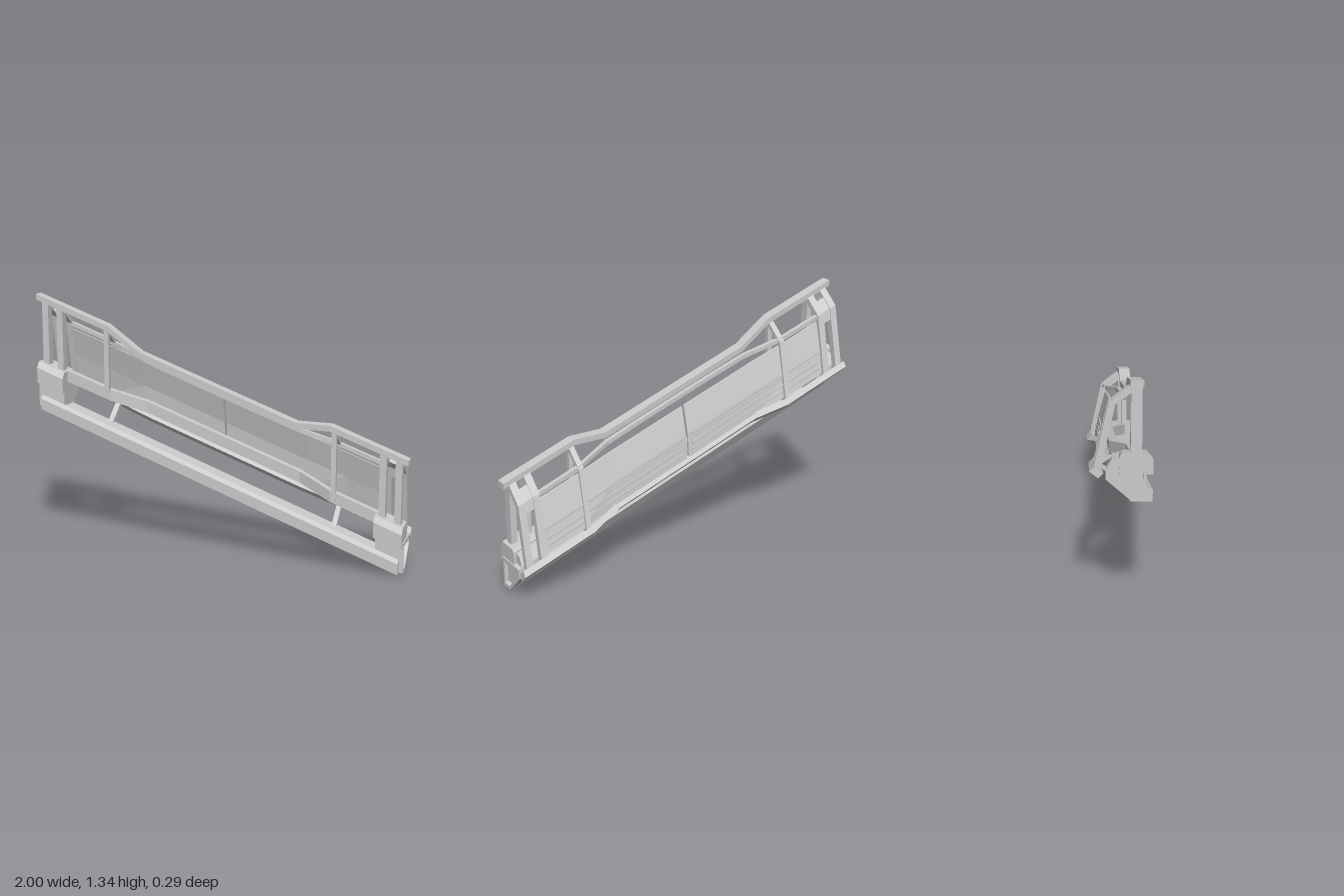
import * as THREE from 'three';

const SLOPE = 0.375; // everything leans down towards +x while uprights stay vertical
const material = new THREE.MeshStandardMaterial({ color: 0xcccccc, flatShading: true });

export function createModel() {
  const model = new THREE.Group();
  const shear = new THREE.Matrix4().set(
    1, 0, 0, 0,
    -SLOPE, 1, 0, 0,
    0, 0, 1, 0,
    0, 0, 0, 1);

  // Shear a level part onto the slope and add it
  function add(name, geometry) {
    const g = geometry.index ? geometry.toNonIndexed() : geometry;
    g.applyMatrix4(shear);
    g.computeVertexNormals();
    const mesh = new THREE.Mesh(g, material);
    mesh.name = name;
    model.add(mesh);
  }

  // Box-section bar through [x, y, z] stations, optionally tilted about its length
  function rail(name, stations, h, d, tilt = 0) {
    const pts = [...stations].sort((a, b) => a[0] - b[0]);
    const n = pts.length - 1;
    const g = new THREE.BoxGeometry(1, h, d, n, 1, 1).rotateX(tilt);
    const p = g.attributes.position;
    for (let i = 0; i < p.count; i++) {
      const s = pts[Math.round((p.getX(i) + 0.5) * n)];
      p.setXYZ(i, s[0], p.getY(i) + s[1], p.getZ(i) + s[2]);
    }
    add(name, g);
  }

  // Complete a half path (given from the centre outwards) on both sides
  const mirrored = (half) => [...half.map(([x, y, z]) => [-x, y, z]), ...half];

  // Section of [z, y] corners pushed along x, with an optional hole
  function prism(name, corners, x0, x1, hole) {
    const toPts = (c) => c.map(([z, y]) => new THREE.Vector2(-z, y));
    const shape = new THREE.Shape(toPts(corners));
    if (hole) shape.holes.push(new THREE.Path(toPts(hole)));
    const g = new THREE.ExtrudeGeometry(shape, { depth: Math.abs(x1 - x0), bevelEnabled: false });
    g.rotateY(Math.PI / 2).translate(Math.min(x0, x1), 0, 0);
    add(name, g);
  }

  // Bent flat bar of [z, y] points, thickness t, centred on x with width w
  function strut(name, pts, x, w, t) {
    const v = pts.map(([z, y]) => new THREE.Vector2(z, y));
    const side = (s) => v.map((p, i) => {
      const a = v[Math.max(i - 1, 0)], b = v[Math.min(i + 1, v.length - 1)];
      const dir = b.clone().sub(a).normalize();
      return [p.x - dir.y * s * t / 2, p.y + dir.x * s * t / 2];
    });
    prism(name, [...side(1), ...side(-1).reverse()], x - w / 2, x + w / 2);
  }

  // Leaning back sheet, bowed further out towards its end
  const rows = [[0.55, -0.08, -0.103], [0.68, -0.068, -0.078], [0.823, -0.031, -0.042]];
  const columns = [[0.006, 0], [0.45, 0], [0.65, 1], [0.87, 1]];
  function backPanel(s) {
    const cols = columns.map(([x, bow]) => [s * x, bow]).sort((a, b) => a[0] - b[0]);
    const g = new THREE.BoxGeometry(1, 1, 0.012, 3, 2, 1);
    const p = g.attributes.position;
    for (let i = 0; i < p.count; i++) {
      const [x, bow] = cols[Math.round((p.getX(i) + 0.5) * 3)];
      const [y, z0, z1] = rows[Math.round((p.getY(i) + 0.5) * 2)];
      p.setXYZ(i, x, y, p.getZ(i) + THREE.MathUtils.lerp(z0, z1, bow));
    }
    add('backPanel', g);
  }

  // Long rails
  rail('topRail', mirrored([[0.42, 0.885, 0.065], [0.6, 0.95, 0.065], [1, 0.95, 0.065]]), 0.03, 0.06);
  rail('innerUpperRail', mirrored([[0.2, 0.85, 0.03], [0.42, 0.85, 0.025], [0.62, 0.85, -0.035], [0.86, 0.85, -0.04]]), 0.022, 0.025);
  rail('middleRail', mirrored([[0.42, 0.59, -0.025], [0.6, 0.59, 0.05], [0.88, 0.59, 0.055]]), 0.06, 0.04);
  rail('lowerBackRail', mirrored([[0.42, 0.53, -0.07], [0.6, 0.52, -0.116], [0.99, 0.52, -0.116]]), 0.035, 0.054, 0.72);

  // Bottom sill with a stepped front lip
  prism('bottomSill', [[0.04, 0.367], [0.14, 0.367], [0.14, 0.425], [0.115, 0.44], [0.1, 0.44],
    [0.1, 0.432], [0.005, 0.432]], -0.968, 0.968);

  for (const s of [-1, 1]) {
    // Back panel half with ledges low on its back
    backPanel(s);
    [[0.67, -0.077, -0.087], [0.62, -0.081, -0.096], [0.585, -0.084, -0.101]].forEach(([y, z0, z1]) =>
      rail('panelLedge', [[s * 0.03, y, z0], [s * 0.45, y, z0], [s * 0.65, y, z1], [s * 0.84, y, z1]], 0.01, 0.01));

    // Paired end uprights with bent back struts and a gusset between them
    for (const x of [0.952, 0.871]) {
      prism('endPost', [[0.04, 0.58], [0.09, 0.58], [0.09, 0.94], [0.04, 0.94]],
        s * (x - 0.017), s * (x + 0.017));
      strut('endBackStrut', [[0.05, 0.932], [-0.045, 0.855], [-0.116, 0.52]], s * x, 0.036, 0.032);
    }
    strut('endGusset', [[0.01, 0.9], [-0.045, 0.855], [-0.057, 0.8]], s * 0.911, 0.05, 0.022);

    // Intermediate frame
    prism('middlePost', [[0.05, 0.58], [0.075, 0.58], [0.075, 0.94], [0.05, 0.94]],
      s * 0.602, s * 0.628);
    strut('middleBackStrut', [[0.06, 0.93], [-0.045, 0.845], [-0.115, 0.53]], s * 0.615, 0.026, 0.022);
    strut('lowerBrace', [[-0.105, 0.52], [0.05, 0.41]], s * 0.615, 0.024, 0.02);
    strut('crossBrace', [[-0.1, 0.535], [0.05, 0.59]], s * 0.615, 0.024, 0.02);

    // End housing with a raised rim and a chamfered front clamp
    const outline = [[0.11, 0.375], [0.04, 0.375], [-0.07, 0.48], [-0.07, 0.535], [-0.045, 0.585], [0.11, 0.595]];
    const rim = [[0.11, 0.375], [0.04, 0.375], [-0.075, 0.485], [-0.075, 0.535], [0.11, 0.535]];
    const opening = [[0.095, 0.395], [0.045, 0.395], [-0.055, 0.488], [-0.055, 0.515], [0.095, 0.515]];
    prism('endHousing', outline, s * 0.845, s * 0.97);
    prism('endRim', rim, s * 0.97, s * 0.99, opening);
    prism('endClamp', [[0.14, 0.505], [0.14, 0.585], [0.115, 0.615], [0, 0.615], [-0.01, 0.6], [-0.01, 0.505]],
      s * 0.84, s * 0.985);
  }

  return model;
}
